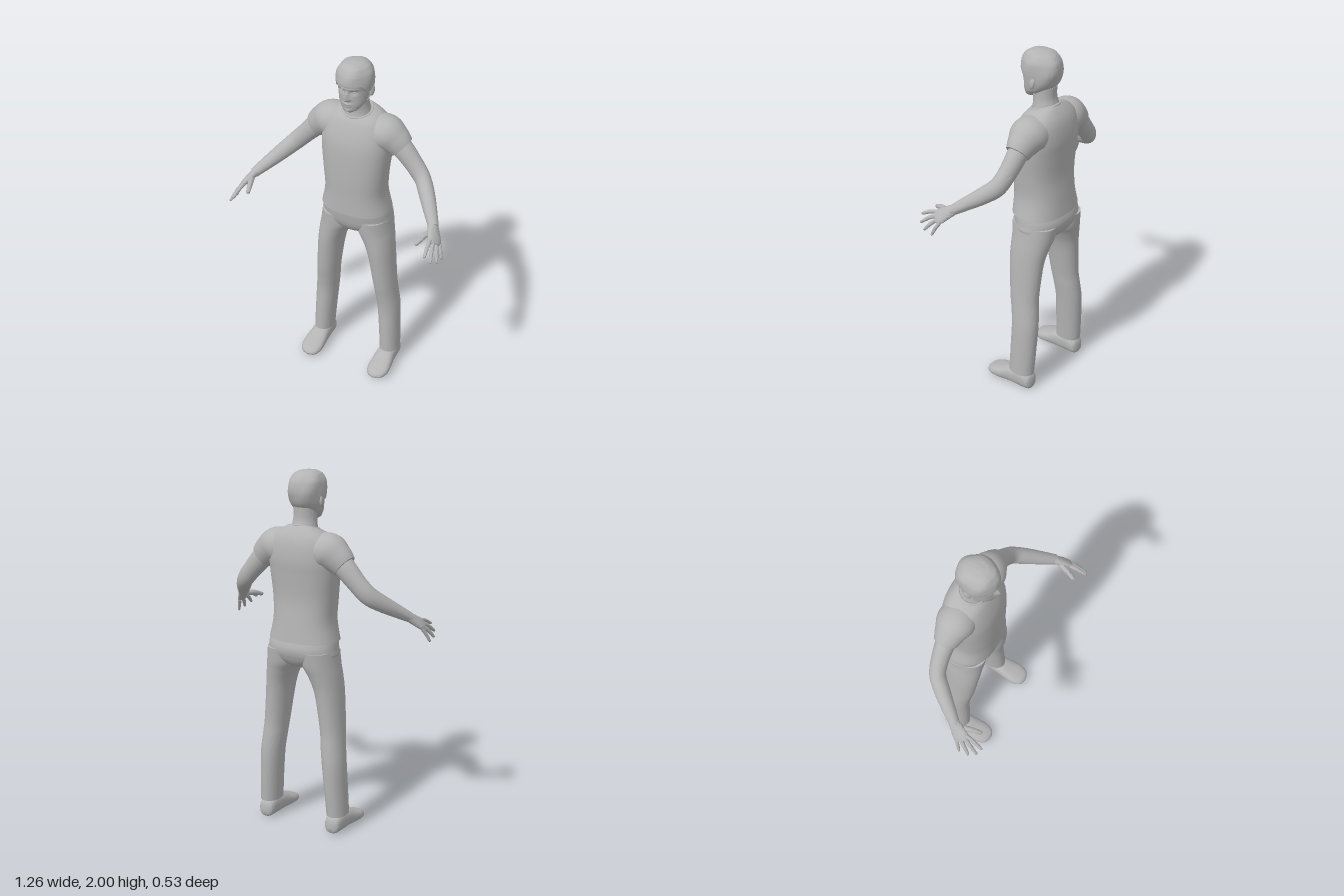
import * as THREE from 'three';
import { toCreasedNormals } from 'three/addons/utils/BufferGeometryUtils.js';

const grey = new THREE.MeshStandardMaterial({ color: 0xb4b4b4 });
grey.name = 'grey';

// Smooth interpolation of table rows at position t (in row units)
function sample(rows, t) {
  const n = rows.length - 1;
  const i = Math.min(Math.floor(t), n - 1), f = t - i;
  const r = k => rows[Math.max(0, Math.min(n, k))];
  return rows[0].map((_, c) => {
    const a = r(i - 1)[c], b = r(i)[c], d = r(i + 1)[c], e = r(i + 2)[c];
    return b + 0.5 * f * (d - a + f * (2 * a - 5 * b + 4 * d - e + f * (3 * (b - d) + e - a)));
  });
}

// Closed skin over rings: fn(u, angle) gives a point, ends are capped
function skin(rows, cols, fn) {
  const pos = [], idx = [];
  for (let i = 0; i <= rows; i++)
    for (let j = 0; j < cols; j++) pos.push(...fn(i / rows, (j / cols) * Math.PI * 2));
  for (let i = 0; i < rows; i++)
    for (let j = 0; j < cols; j++) {
      const k = (j + 1) % cols, a = i * cols + j, b = i * cols + k;
      idx.push(a, a + cols, b, b, a + cols, b + cols);
    }
  for (const i of [0, rows]) {
    const c = [0, 0, 0], centre = pos.length / 3;
    for (let j = 0; j < cols; j++)
      for (let m = 0; m < 3; m++) c[m] += pos[(i * cols + j) * 3 + m] / cols;
    pos.push(...c);
    for (let j = 0; j < cols; j++) {
      const a = i * cols + j, b = i * cols + ((j + 1) % cols);
      if (i) idx.push(a, centre, b); else idx.push(centre, a, b);
    }
  }
  const g = new THREE.BufferGeometry();
  g.setAttribute('position', new THREE.Float32BufferAttribute(pos, 3));
  g.setIndex(idx);
  return toCreasedNormals(g, Math.PI / 3);
}

const power = (v, e) => Math.sign(v) * Math.abs(v) ** (2 / e);

// Upright loft, rows: [y, centre x, half width, front z, back z, tilt]
function upright(rows, e = 2, side = 1) {
  return skin((rows.length - 1) * 5, 48, (u, a) => {
    const [y, cx, w, f, b, tilt] = sample(rows, u * (rows.length - 1));
    const dz = power(Math.sin(a), e) * (f - b) / 2;
    return [side * cx + w * power(Math.cos(a), e), y - (tilt || 0) * dz, (f + b) / 2 + dz];
  });
}

// Tube along a path, rows: [x, y, z, radius along ref, radius across]
function limb(rows, ref, side, cols = 24) {
  const n = rows.length - 1;
  const at = t => { const s = sample(rows, t); return new THREE.Vector3(side * s[0], s[1], s[2]); };
  return skin(n * 5, cols, (q, a) => {
    const t = q * n, s = sample(rows, t);
    const dir = at(Math.min(n, t + 0.05)).sub(at(Math.max(0, t - 0.05))).normalize();
    const u = new THREE.Vector3(side * ref[0], ref[1], ref[2]);
    u.addScaledVector(dir, -u.dot(dir)).normalize();
    const v = u.clone().cross(dir);
    return at(t).addScaledVector(u, s[3] * Math.cos(a)).addScaledVector(v, s[4] * Math.sin(a)).toArray();
  });
}

// Skull profile, rows: [y, half width, front z, back z]
const skull = [
  [1.732, 0.02, -0.005, -0.04], [1.745, 0.043, 0.006, -0.065], [1.78, 0.07, 0.01, -0.125],
  [1.82, 0.082, 0.012, -0.168], [1.86, 0.088, 0.014, -0.187], [1.9, 0.09, 0.02, -0.194],
  [1.94, 0.084, 0.012, -0.184], [1.968, 0.064, -0.008, -0.157], [1.982, 0.038, -0.035, -0.125],
  [1.987, 0.008, -0.07, -0.09],
];
function skullAt(y) {
  let i = 0;
  while (i < skull.length - 2 && y > skull[i + 1][0]) i++;
  return sample(skull, i + Math.min(1, (y - skull[i][0]) / (skull[i + 1][0] - skull[i][0])));
}
const bump = (v, c, s) => Math.exp(-(((v - c) / s) ** 2));
const ease = THREE.MathUtils.smoothstep;

// Head with nose, sockets, brow, lips and chin pushed out of the front
function headPoint(u, a) {
  const y = 1.732 + 0.255 * (1 - (1 - u) ** 1.3);
  const [, w, f, b] = skullAt(y);
  const x = w * Math.cos(a);
  let z = (f + b) / 2 + Math.sin(a) * (f - b) / 2;
  if (Math.sin(a) > 0) {
    const ax = Math.abs(x);
    const nose = y > 1.822 ? 1 - ease(y, 1.822, 1.88) : ease(y, 1.8, 1.82);
    z += 0.027 * nose * bump(x, 0, 0.009 + 0.006 * bump(y, 1.815, 0.014));
    z -= 0.011 * bump(ax, 0.034, 0.017) * bump(y, 1.86, 0.012);
    z += 0.005 * bump(ax, 0.03, 0.03) * bump(y, 1.88, 0.008);
    z += bump(x, 0, 0.024) * (0.008 * bump(y, 1.79, 0.006) + 0.007 * bump(y, 1.776, 0.006));
    z += 0.005 * bump(x, 0, 0.024) * bump(y, 1.747, 0.012);
  }
  return [x, y, z];
}

// Hair shell, its lower edge drops from the fringe to the nape
function hairPoint(u, a) {
  const s = Math.sin(a);
  const low = 1.775 + 0.075 * ease(s, -0.5, -0.1) + 0.045 * ease(s, 0.3, 0.75);
  const y = low + (1.987 - low) * (1 - (1 - u) ** 1.6);
  const [, w, f, b] = skullAt(y);
  const off = 0.009 + 0.0025 * Math.sin(5 * a + 30 * y) * Math.sin(u * Math.PI);
  return [(w + off) * Math.cos(a), y + 0.013 * ease(y, 1.88, 1.985), (f + b) / 2 + s * ((f - b) / 2 + off)];
}

export function createModel() {
  const model = new THREE.Group();
  model.name = 'standingMan';
  const add = (name, geometry) => {
    const m = new THREE.Mesh(geometry, grey);
    m.name = name;
    model.add(m);
    return m;
  };

  add('head', skin(110, 128, headPoint));
  add('hair', skin(30, 72, hairPoint));
  add('neck', upright([
    [1.66, 0, 0.082, -0.04, -0.19], [1.71, 0, 0.07, -0.048, -0.182],
    [1.75, 0, 0.064, -0.045, -0.172], [1.81, 0, 0.064, -0.04, -0.172]]));

  // T-shirt body and collar band
  add('shirt', upright([
    [1.09, 0, 0.199, 0.03, -0.262, 0], [1.2, 0, 0.176, 0.03, -0.25, 0],
    [1.32, 0, 0.182, 0.032, -0.24, 0], [1.45, 0, 0.195, 0.028, -0.248, 0],
    [1.53, 0, 0.198, 0.02, -0.255, 0], [1.6, 0, 0.19, 0.0, -0.25, 0],
    [1.65, 0, 0.168, -0.022, -0.238, 0], [1.682, 0, 0.13, -0.036, -0.215, 0.12],
    [1.7, 0, 0.088, -0.042, -0.192, 0.28]], 2.4));
  const collar = add('collar', new THREE.TorusGeometry(0.08, 0.007, 10, 48));
  collar.scale.set(1, 0.95, 1);
  collar.rotation.x = Math.PI / 2 + 0.27;
  collar.position.set(0, 1.698, -0.117);

  // Trouser seat
  add('trouserSeat', upright([
    [0.93, 0, 0.035, -0.06, -0.17], [0.955, 0, 0.11, -0.025, -0.225],
    [1.0, 0, 0.198, 0.003, -0.256], [1.05, 0, 0.2, 0.016, -0.268],
    [1.1, 0, 0.193, 0.024, -0.256]], 2.3));

  for (const side of [1, -1]) {
    const name = part => (side > 0 ? 'left' : 'right') + part;

    add(name('TrouserLeg'), upright([
      [0.1, 0.22, 0.056, -0.048, -0.203], [0.25, 0.212, 0.059, -0.052, -0.212],
      [0.4, 0.202, 0.063, -0.056, -0.217], [0.5, 0.191, 0.064, -0.046, -0.211],
      [0.6, 0.181, 0.065, -0.03, -0.205], [0.8, 0.158, 0.073, -0.01, -0.217],
      [0.9, 0.134, 0.086, -0.004, -0.235], [0.96, 0.113, 0.098, 0.0, -0.25],
      [1.04, 0.105, 0.095, 0.005, -0.26]], 2.1, side));

    // Shoe, rows: [z, centre x, half width, top, bottom]
    const shoe = [
      [-0.205, 0.219, 0.018, 0.06, 0.015], [-0.19, 0.219, 0.043, 0.095, 0.002],
      [-0.13, 0.22, 0.05, 0.118, 0], [-0.06, 0.22, 0.056, 0.108, 0.003],
      [0, 0.222, 0.063, 0.083, 0.003], [0.05, 0.222, 0.063, 0.064, 0.006],
      [0.09, 0.22, 0.045, 0.047, 0.01], [0.105, 0.218, 0.014, 0.033, 0.018]];
    add(name('Shoe'), skin(35, 36, (u, a) => {
      const [z, cx, w, top, low] = sample(shoe, u * 7);
      return [side * cx + w * power(Math.cos(a), 2.5),
        (top + low) / 2 - power(Math.sin(a), 2.5) * (top - low) / 2, z];
    }));

    add(name('Sleeve'), limb([
      [0.08, 1.585, -0.13, 0.09, 0.095], [0.16, 1.582, -0.13, 0.103, 0.103],
      [0.215, 1.553, -0.132, 0.087, 0.082], [0.257, 1.517, -0.133, 0.071, 0.064]], [0, 1, 0], side, 36));

    add(name('Arm'), limb([
      [0.2, 1.56, -0.13, 0.06, 0.053], [0.26, 1.51, -0.133, 0.06, 0.053],
      [0.33, 1.435, -0.128, 0.053, 0.047], [0.39, 1.372, -0.11, 0.051, 0.044],
      [0.44, 1.325, -0.057, 0.046, 0.043], [0.492, 1.278, 0.01, 0.037, 0.037],
      [0.545, 1.23, 0.08, 0.027, 0.028]], [0, 1, 0], side));

    add(name('Palm'), limb([
      [0.535, 1.24, 0.065, 0.029, 0.024], [0.555, 1.215, 0.1, 0.038, 0.021],
      [0.575, 1.192, 0.132, 0.044, 0.017], [0.588, 1.178, 0.152, 0.034, 0.01]],
    [0.045, -0.045, -0.06], side));

    // Fingers: root, tip, thickness
    [
      ['Thumb', [0.54, 1.217, 0.11], [0.505, 1.19, 0.22], 0.015],
      ['IndexFinger', [0.56, 1.205, 0.15], [0.576, 1.16, 0.262], 0.011],
      ['MiddleFinger', [0.575, 1.19, 0.15], [0.605, 1.125, 0.247], 0.011],
      ['RingFinger', [0.587, 1.177, 0.136], [0.624, 1.103, 0.205], 0.011],
      ['LittleFinger', [0.596, 1.167, 0.115], [0.627, 1.092, 0.15], 0.01],
    ].forEach(([part, a, b, r]) => {
      const rows = [[0, 1], [0.45, 1], [0.9, 0.75], [0.98, 0.5], [1, 0.15]].map(([t, k]) => {
        const p = a.map((v, i) => v + (b[i] - v) * t);
        p[1] += 0.03 * t * (1 - t);
        return [...p, r * k, r * k];
      });
      add(name(part), limb(rows, [1, 0, 0], side, 14));
    });

    // Ear and eyeball
    const ear = add(name('Ear'), new THREE.SphereGeometry(1, 20, 14));
    ear.scale.set(0.011, 0.031, 0.019);
    ear.position.set(side * 0.092, 1.842, -0.095);
    ear.rotation.set(-0.2, side * -0.25, 0);
    const eye = add(name('Eye'), new THREE.SphereGeometry(0.011, 16, 12));
    eye.scale.y = 0.7;
    eye.position.set(side * 0.034, 1.859, -0.011);
  }
  return model;
}
